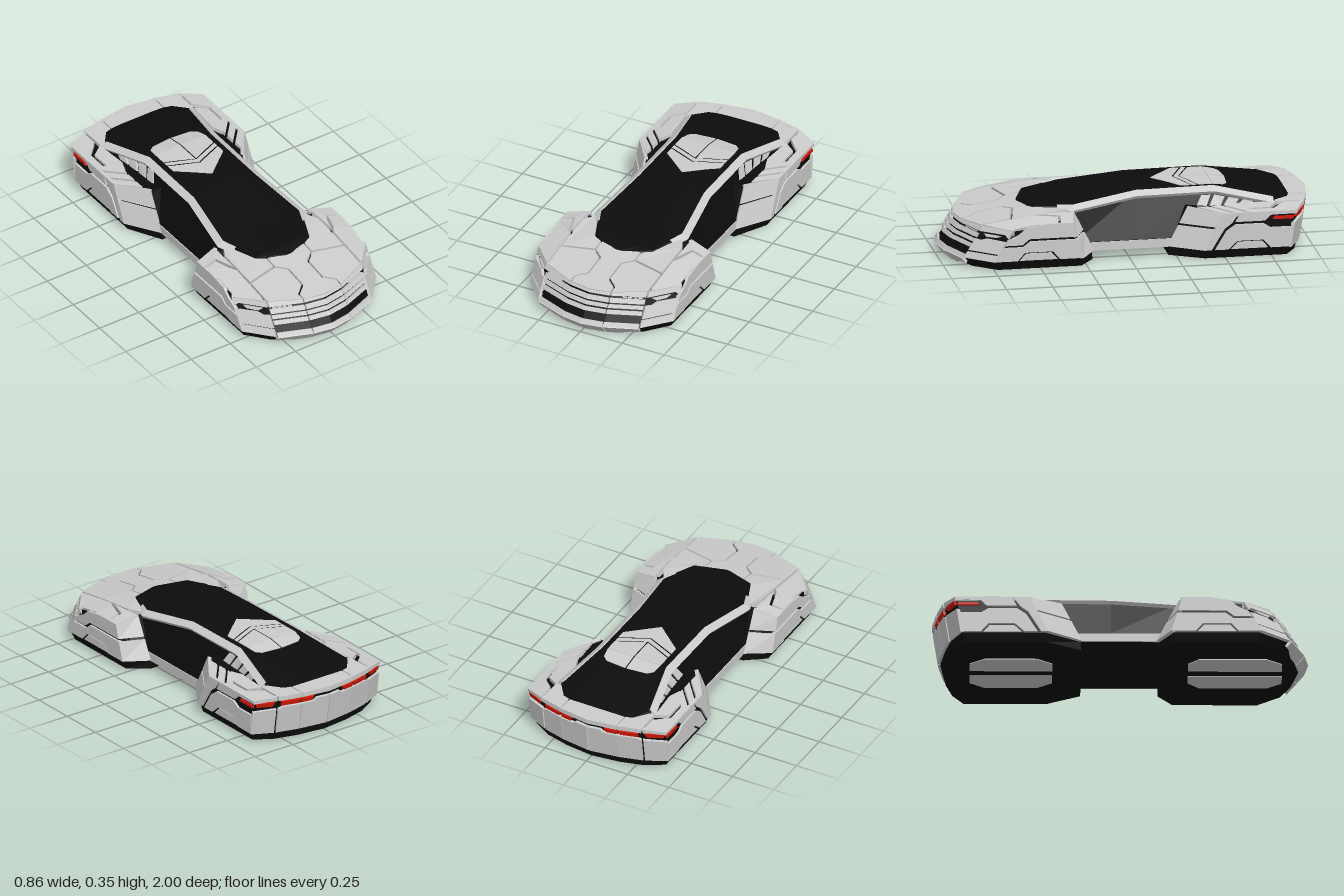
import * as THREE from 'three';

const mat = (color) => new THREE.MeshStandardMaterial({ color, flatShading: true });
const V = (x, y, z) => new THREE.Vector3(x, y, z);

// Piecewise-linear lookup; table rows are [key, value] with rising keys
function at(table, k) {
  for (let i = 1; i < table.length; i++) {
    const [a, va] = table[i - 1], [b, vb] = table[i];
    if (k <= b || i === table.length - 1) return va + (vb - va) * Math.min(1, Math.max(0, (k - a) / (b - a)));
  }
}

function toGeometry(tris) {
  const pos = tris.flatMap((p) => [p.x, p.y, p.z]);
  const g = new THREE.BufferGeometry();
  g.setAttribute('position', new THREE.Float32BufferAttribute(pos, 3));
  g.computeVertexNormals();
  return g;
}

// Closed solid from stacked half outlines (front to rear, +x side), mirrored across x
function stack(levels) {
  const tris = [];
  const tri = (a, b, c) => {
    if (b.clone().sub(a).cross(c.clone().sub(a)).length() > 1e-9) tris.push(a, b, c);
  };
  const quad = (a, b, c, d) => { tri(a, b, c); tri(a, c, d); };
  const flip = (p) => V(-p.x, p.y, p.z);
  const rings = levels.map((h) => [...h, ...h.map(flip).reverse()]);
  for (let k = 1; k < rings.length; k++) {
    const a = rings[k - 1], b = rings[k];
    a.forEach((_, i) => { const j = (i + 1) % a.length; quad(a[i], a[j], b[j], b[i]); });
  }
  const low = levels[0], top = levels[levels.length - 1];
  for (let i = 1; i < low.length; i++) {
    quad(top[i - 1], top[i], flip(top[i]), flip(top[i - 1]));
    quad(flip(low[i - 1]), flip(low[i]), low[i], low[i - 1]);
  }
  return toGeometry(tris);
}

// Thick plate through 3D corners, its outer face on the corners, facing `out`
function plate(pts, out, t) {
  let p = pts;
  const n = V(0, 0, 0);
  p.forEach((a, i) => n.add(a.clone().cross(p[(i + 1) % p.length])));
  n.normalize();
  if (n.dot(out) < 0) { n.negate(); p = [...p].reverse(); }
  const u = p[1].clone().sub(p[0]).projectOnPlane(n).normalize(), w = n.clone().cross(u);
  const q = p.map((a) => a.clone().addScaledVector(n, -t));
  const flat = p.map((a) => new THREE.Vector2(a.dot(u), a.dot(w)));
  const tris = [];
  for (const [a, b, c] of THREE.ShapeUtils.triangulateShape(flat, [])) {
    const up = flat[b].clone().sub(flat[a]).cross(flat[c].clone().sub(flat[a])) > 0;
    tris.push(p[a], up ? p[b] : p[c], up ? p[c] : p[b]);
    tris.push(q[a], up ? q[c] : q[b], up ? q[b] : q[c]);
  }
  p.forEach((_, i) => {
    const j = (i + 1) % p.length;
    tris.push(q[i], q[j], p[j], q[i], p[j], p[i]);
  });
  return toGeometry(tris);
}

export function createModel() {
  const car = new THREE.Group();
  car.name = 'hoverCar';
  const grey = mat(0xcccccc), black = mat(0x0c0c0c), red = mat(0xd01808);
  const add = (name, geo, m) => { const o = new THREE.Mesh(geo, m); o.name = name; car.add(o); };

  // Mirrored pair of plates drawn in the 2D coordinates of a body surface
  const panel = (name, surf, pts, m = grey, t = surf.t ?? 0.02) => {
    for (const s of [1, -1]) {
      const v = pts.map(([a, b]) => { const p = surf.map(a, b); p.x *= s; return p; });
      add(`${name}${s > 0 ? 'Left' : 'Right'}`, plate(v, V(surf.out.x * s, surf.out.y, surf.out.z), t), m);
    }
  };

  // Body surfaces
  const noseCurve = [[0, 0], [0.12, 0.02], [0.3, 0.09], [0.43, 0.24]];
  const tailCurve = [[0, 0], [0.17, 0.025], [0.3, 0.06], [0.42, 0.12]];
  const edgeX = [[-0.88, 0.2], [-0.78, 0.27], [-0.47, 0.2], [-0.05, 0.2], [0.3, 0.25], [0.5, 0.17], [0.56, 0.02]];
  const edgeY = [[-0.88, 0.27], [-0.78, 0.285], [-0.47, 0.344], [-0.05, 0.34], [0.3, 0.292], [0.5, 0.278], [0.56, 0.266]];
  const ridgeY = [[-0.88, 0.275], [-0.78, 0.295], [-0.47, 0.348], [-0.05, 0.348], [0.3, 0.303], [0.5, 0.282], [0.56, 0.268]];
  const hoodY = (x, z) => Math.min(0.28, 0.215 + 0.15 * (0.9 - z)) - 0.25 * Math.max(0, x - 0.32);
  const deckY = (x) => 0.272 - 0.14 * Math.max(0, x - 0.3);
  const S = {
    nose: { out: V(0, 0.2, 1), map: (x, y) => V(x, y, 1 - 0.6 * (y - 0.05) - at(noseCurve, x)) },
    lip: { out: V(0, -0.2, 1), map: (x, y) => V(x, y, 0.96 + 0.8 * y - at(noseCurve, x)) },
    hood: { out: V(0, 1, 0), t: 0.035, map: (x, z) => V(x, hoodY(x, z), z) },
    frontSide: { out: V(1, 0, 0), map: (z, y) => V(0.43, y, z) },
    frontTrail: { out: V(0.5, 0, -1), map: (u, y) => V(0.3 + 0.13 * u, y, 0.19 + 0.08 * u + (0.5 - 0.2 * u) * (y - 0.05)) },
    rearSide: { out: V(1, 0, 0), map: (z, y) => V(0.42, y, z) },
    rearLead: { out: V(1, 0, 1), map: (u, y) => V(0.3 + 0.12 * u, y, -0.2 - 0.18 * u - 0.5 * (y - 0.05)) },
    tail: { out: V(0, 0, -1), map: (x, y) => V(x, y, -1 + 0.15 * (0.25 - Math.min(y, 0.25)) + at(tailCurve, x)) },
    deck: { out: V(0, 1, 0), map: (x, z) => V(x, deckY(x), z) },
    roof: { out: V(0, 1, 0), t: 0.012, map: (x, z) => V(x, at(ridgeY, z) + 0.004 - 0.02 * x, z) },
    cabinSide: { out: V(1, 0.3, 0), map: (z, y) => V(0.303 + (at(edgeX, z) - 0.295) * (y - 0.1) / (at(edgeY, z) - 0.1), y, z) },
    sill: { out: V(1, 0, 0), map: (z, y) => V(0.3, y, z) },
    belly: { out: V(0, -1, 0), t: 0.01, map: (x, z) => V(x, 0, z) },
  };

  // Black cores: front pod, rear pod and glass cabin
  const ring = (pts, y) => pts.map(([x, z]) => V(x, typeof y === 'function' ? y(x, z) : y, z));
  add('frontPod', stack([
    ring([[0, 0.94], [0.19, 0.9], [0.3, 0.85], [0.4, 0.73], [0.4, 0.28], [0.29, 0.2]], 0.004),
    ring([[0, 0.985], [0.12, 0.965], [0.295, 0.89], [0.418, 0.745], [0.418, 0.285], [0.29, 0.205]], 0.05),
    ring([[0, 0.885], [0.12, 0.865], [0.295, 0.785], [0.418, 0.645], [0.418, 0.345], [0.29, 0.33]], (x, z) => hoodY(x, z) - 0.012),
  ]), black);
  add('rearPod', stack([
    ring([[0.29, -0.21], [0.39, -0.39], [0.39, -0.83], [0.29, -0.89], [0.16, -0.925], [0, -0.945]], 0.004),
    ring([[0.29, -0.21], [0.408, -0.395], [0.408, -0.84], [0.295, -0.9], [0.165, -0.93], [0, -0.955]], 0.05),
    ring([[0.29, -0.31], [0.408, -0.49], [0.408, -0.868], [0.295, -0.925], [0.165, -0.96], [0, -0.985]], (x) => deckY(x) - 0.012),
  ]), black);
  const zs = [0.56, 0.5, 0.3, -0.05, -0.47, -0.78, -0.88];
  add('cabinGlass', stack([
    zs.map((z) => V(0.292, 0.05, z)),
    zs.map((z) => V(0.295, 0.1, z)),
    zs.map((z) => V(at(edgeX, z), at(edgeY, z), z)),
    zs.map((z) => V(at(edgeX, z) * 0.5, at(ridgeY, z), z)),
  ]), black);

  // Grille bars, split at the nose creases
  for (const [y0, y1] of [[0.055, 0.076], [0.114, 0.134], [0.142, 0.16], [0.167, 0.19]]) {
    for (const [x0, x1] of [[0, 0.117], [0.123, 0.298]]) panel('grilleBar', S.nose, [[x0, y0], [x1, y0], [x1, y1], [x0, y1]]);
  }
  panel('hoodLip', S.nose, [[0, 0.2], [0.117, 0.2], [0.117, 0.215], [0, 0.212]]);
  panel('hoodLipOuter', S.nose, [[0.123, 0.2], [0.298, 0.2], [0.298, 0.227], [0.123, 0.215]]);
  for (let i = 0; i < 4; i++) {
    const x = 0.185 + i * 0.026;
    panel('signalLight', S.nose, [[x, 0.192], [x + 0.02, 0.192], [x + 0.02, 0.198], [x, 0.198]], grey, 0.012);
  }
  panel('chinPlate', S.lip, [[0, 0], [0.117, 0], [0.117, 0.05], [0, 0.05]]);
  panel('chinPlateOuter', S.lip, [[0.123, 0], [0.19, 0], [0.25, 0.02], [0.298, 0.02], [0.298, 0.05], [0.123, 0.05]]);

  // Front corners with headlights
  panel('cornerLower', S.nose, [[0.306, 0.055], [0.43, 0.055], [0.43, 0.09], [0.306, 0.09]]);
  panel('cornerMiddle', S.nose, [[0.306, 0.096], [0.43, 0.096], [0.43, 0.165], [0.35, 0.168], [0.33, 0.155], [0.306, 0.16]]);
  panel('headlight', S.nose, [[0.325, 0.19], [0.345, 0.175], [0.385, 0.178], [0.395, 0.19]]);
  panel('cornerUpper', S.nose, [[0.306, 0.198], [0.41, 0.198], [0.43, 0.18], [0.43, 0.222], [0.306, 0.228]]);

  // Hood and front fender tops
  panel('hoodCentre', S.hood, [[0, 0.9], [0.115, 0.882], [0.115, 0.84], [0.058, 0.79], [0.058, 0.65], [0.115, 0.6], [0.115, 0.53], [0, 0.56]]);
  panel('hoodOuter', S.hood, [[0.123, 0.88], [0.298, 0.803], [0.298, 0.65], [0.12, 0.61], [0.068, 0.655], [0.068, 0.785], [0.123, 0.835]]);
  panel('hoodRear', S.hood, [[0.123, 0.597], [0.298, 0.637], [0.298, 0.4], [0.262, 0.33], [0.242, 0.34], [0.172, 0.505], [0.123, 0.53]]);
  panel('fenderFront', S.hood, [[0.31, 0.795], [0.43, 0.656], [0.415, 0.64], [0.415, 0.52], [0.43, 0.5], [0.43, 0.41], [0.36, 0.4], [0.33, 0.5], [0.31, 0.53]]);
  panel('fenderRear', S.hood, [[0.312, 0.5], [0.35, 0.385], [0.43, 0.395], [0.43, 0.33], [0.305, 0.305]]);

  // Front pod sides and trailing faces
  panel('frontDoor', S.frontSide, [[0.757, 0.055], [0.712, 0.13], [0.6, 0.13], [0.56, 0.16], [0.303, 0.16], [0.272, 0.055],
    [0.4, 0.055], [0.44, 0.1], [0.59, 0.1], [0.63, 0.055]]);
  panel('frontSideVent', { ...S.frontSide, map: (z, y) => V(0.425, y, z) }, [[0.618, 0.055], [0.583, 0.093], [0.447, 0.093], [0.412, 0.055]]);
  panel('frontSideUpper', S.frontSide, [[0.7, 0.142], [0.605, 0.142], [0.565, 0.174], [0.308, 0.174], [0.33, 0.2525], [0.467, 0.2525],
    [0.58, 0.235], [0.62, 0.2], [0.682, 0.17]]);
  panel('frontTrailLower', S.frontTrail, [[0, 0.055], [1, 0.055], [1, 0.16], [0, 0.16]]);
  panel('frontTrailUpper', S.frontTrail, [[0, 0.174], [1, 0.174], [1, 0.2525], [0, 0.28]]);

  // Waist sill, roof rails and rear pillars
  panel('sill', S.sill, [[0.24, 0.052], [0.24, 0.098], [-0.26, 0.098], [-0.26, 0.052]]);
  const railZ = [0.38, 0.3, -0.05, -0.47, -0.78];
  for (let i = 1; i < railZ.length; i++) {
    const p = (z, d) => V(at(edgeX, z) + d * 0.035 - 0.004, at(edgeY, z) + 0.006 - d * 0.025, z);
    const [a, b] = [railZ[i - 1], railZ[i]];
    panel('roofRail', { out: V(0.5, 1, 0), map: p }, [[a, 0], [a, 1], [b, 1], [b, 0]]);
  }
  panel('rearPillar', S.cabinSide, [[-0.29, 0.11], [-0.4, 0.305], [-0.45, 0.305], [-0.36, 0.11]]);
  for (let i = 0; i < 3; i++) {
    const z = -0.47 - i * 0.075, y = 0.305 - i * 0.013;
    panel('pillarSlat', S.cabinSide, [[z + 0.03, 0.25], [z, y], [z - 0.055, y - 0.01], [z - 0.03, 0.25]]);
  }

  // Roof hatch with chevron gaps
  panel('hatchTip', S.roof, [[0, -0.165], [0.16, -0.3], [0.16, -0.35], [0, -0.28]]);
  panel('hatchChevron', S.roof, [[0, -0.29], [0.16, -0.36], [0.16, -0.385], [0, -0.315]]);
  panel('hatchRear', S.roof, [[0.004, -0.325], [0.16, -0.395], [0.16, -0.47], [0.004, -0.47]]);
  panel('hatchSlope', S.roof, [[0.004, -0.472], [0.16, -0.472], [0.15, -0.53], [0.12, -0.555], [0.004, -0.565]]);

  // Rear deck and fender tops
  panel('deckCentre', S.deck, [[0, -1], [0.165, -0.976], [0.165, -0.85], [0, -0.87]]);
  panel('deckOuter', S.deck, [[0.172, -0.974], [0.298, -0.941], [0.298, -0.78], [0.26, -0.79], [0.172, -0.85]]);
  panel('rearFenderTop', S.deck, [[0.31, -0.935], [0.42, -0.88], [0.42, -0.66], [0.38, -0.62], [0.38, -0.76], [0.31, -0.83]]);
  panel('rearFenderInner', S.deck, [[0.3, -0.79], [0.365, -0.745], [0.365, -0.62], [0.31, -0.53], [0.285, -0.6]]);
  for (let i = 0; i < 3; i++) {
    const z = -0.36 - i * 0.075;
    panel('fenderSlat', S.deck, [[0.315, z], [0.42, z - 0.125], [0.42, z - 0.18], [0.315, z - 0.055]]);
  }

  // Rear pod sides and leading faces
  panel('rearLeadLower', S.rearLead, [[0, 0.055], [1, 0.055], [1, 0.17], [0, 0.17]]);
  panel('rearLeadUpper', S.rearLead, [[0, 0.18], [1, 0.18], [1, 0.255], [0, 0.272]]);
  panel('rearSidePillar', S.rearSide, [[-0.382, 0.055], [-0.48, 0.255], [-0.57, 0.255], [-0.53, 0.2], [-0.49, 0.17], [-0.42, 0.055]]);
  panel('rearSideCover', S.rearSide, [[-0.44, 0.055], [-0.5, 0.155], [-0.55, 0.19], [-0.7, 0.19], [-0.74, 0.165], [-0.85, 0.165], [-0.85, 0.055],
    [-0.74, 0.055], [-0.7, 0.1], [-0.56, 0.1], [-0.51, 0.055]]);
  panel('rearSideVent', { ...S.rearSide, map: (z, y) => V(0.415, y, z) }, [[-0.525, 0.055], [-0.565, 0.093], [-0.695, 0.093], [-0.727, 0.055]]);
  panel('rearSideUpper', S.rearSide, [[-0.58, 0.255], [-0.55, 0.205], [-0.71, 0.205], [-0.74, 0.235], [-0.88, 0.24], [-0.88, 0.255]]);
  panel('sideTailLight', S.rearSide, [[-0.75, 0.21], [-0.76, 0.225], [-0.865, 0.225], [-0.865, 0.21]], red, 0.015);

  // Tail face and lights
  panel('tailCentre', S.tail, [[0.004, 0.05], [0.167, 0.05], [0.167, 0.205], [0.09, 0.205], [0.075, 0.22], [0.004, 0.22]]);
  panel('tailOuter', S.tail, [[0.17, 0.05], [0.296, 0.05], [0.296, 0.195], [0.27, 0.205], [0.17, 0.205]]);
  panel('tailCorner', S.tail, [[0.306, 0.05], [0.42, 0.05], [0.42, 0.185], [0.306, 0.195]]);
  for (const [a, b] of [[0, 0.168], [0.171, 0.298], [0.306, 0.42]]) {
    panel('tailLip', S.tail, [[a, 0.246], [b, 0.246], [b, deckY(b)], [a, deckY(a)]]);
  }
  for (const [a, b] of [[0.095, 0.167], [0.173, 0.28], [0.315, 0.405]]) {
    panel('tailLight', S.tail, [[a + 0.012, 0.214], [b, 0.214], [b, 0.237], [a, 0.237]], red, 0.015);
  }

  // Underside plates
  panel('frontBelly', S.belly, [[0.03, 0.86], [0.12, 0.86], [0.18, 0.78], [0.18, 0.42], [0.12, 0.36], [0.03, 0.36]]);
  panel('rearBelly', S.belly, [[0.03, -0.36], [0.12, -0.36], [0.18, -0.44], [0.18, -0.72], [0.12, -0.8], [0.03, -0.8]]);
  return car;
}
